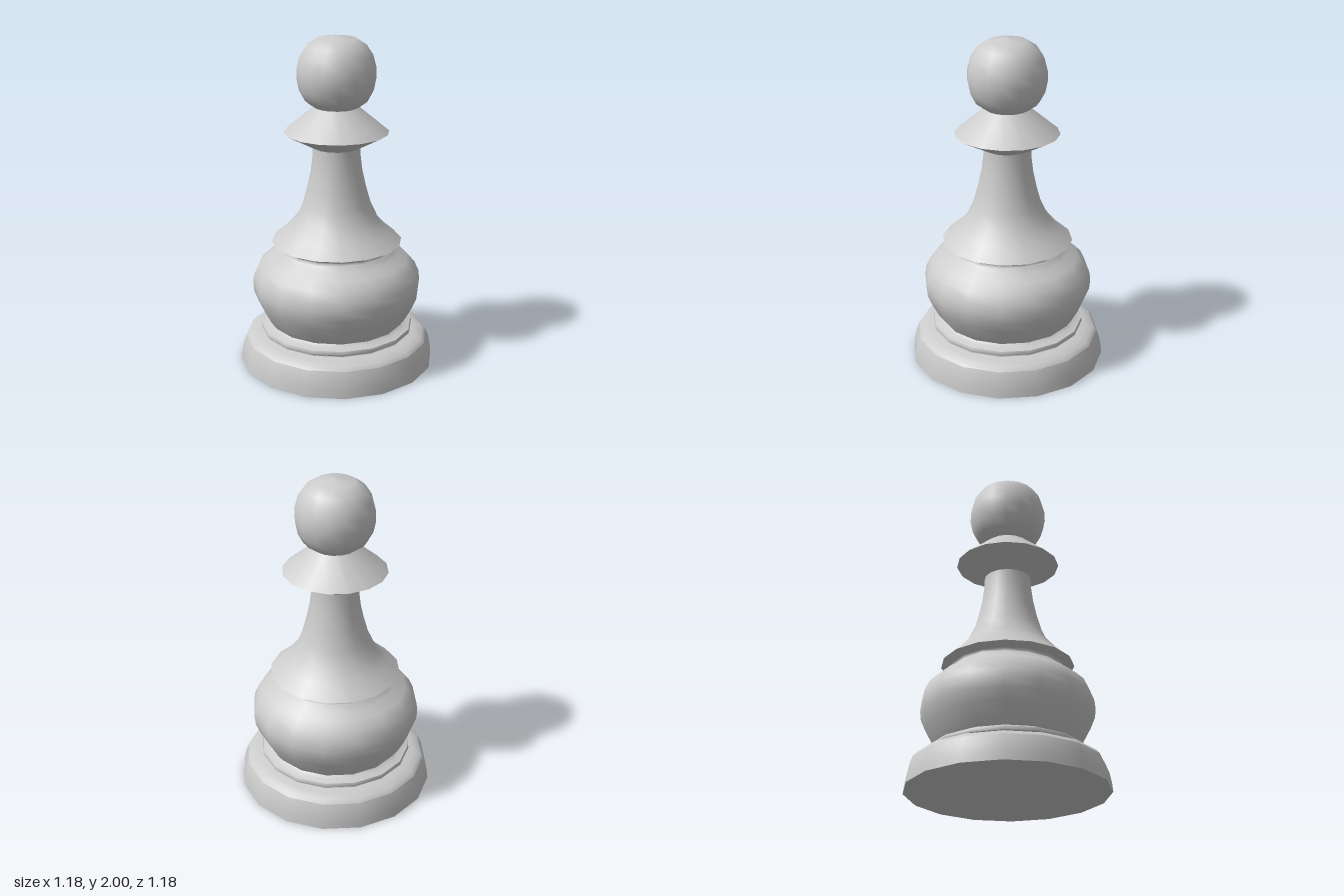
import * as THREE from 'three';

const SIDES = 16;

// Each part is a run of [radius, height] from bottom to top; edges between runs stay sharp.
const PARTS = {
  baseSide: [[0.59, 0], [0.585, 0.05], [0.573, 0.11], [0.555, 0.155]],
  baseShoulder: [[0.555, 0.155], [0.535, 0.178], [0.49, 0.19], [0.45, 0.198]],
  baseRingUnderside: [[0.44, 0.198], [0.46, 0.21]],
  baseRing: [[0.46, 0.21], [0.463, 0.222], [0.458, 0.235]],
  baseRingTop: [[0.458, 0.235], [0.42, 0.245], [0.405, 0.258]],
  body: [[0.405, 0.258], [0.435, 0.3], [0.475, 0.375], [0.502, 0.44], [0.508, 0.495],
    [0.502, 0.55], [0.475, 0.61], [0.43, 0.655], [0.37, 0.69], [0.345, 0.72]],
  bodyNeck: [[0.345, 0.72], [0.33, 0.73], [0.342, 0.742]],
  skirtUnderside: [[0.342, 0.742], [0.392, 0.765]],
  stem: [[0.392, 0.765], [0.31, 0.835], [0.245, 0.91], [0.203, 1.0], [0.175, 1.1],
    [0.153, 1.2], [0.142, 1.29], [0.14, 1.345]],
  collarUnderside: [[0.14, 1.345], [0.31, 1.435]],
  collarTop: [[0.31, 1.435], [0.13, 1.585]],
  head: [[0.13, 1.585], [0.185, 1.625], [0.218, 1.685], [0.232, 1.755], [0.23, 1.815],
    [0.212, 1.885], [0.173, 1.945], [0.115, 1.983], [0, 2.0]],
};

export function createModel() {
  const group = new THREE.Group();
  group.name = 'chessPawn';
  const material = new THREE.MeshStandardMaterial({ color: 0xcccccc });

  const add = (name, geometry) => {
    const mesh = new THREE.Mesh(geometry, material);
    mesh.name = name;
    group.add(mesh);
    return mesh;
  };

  for (const [name, profile] of Object.entries(PARTS)) {
    const points = profile.map(([r, y]) => new THREE.Vector2(r, y));
    add(name, new THREE.LatheGeometry(points, SIDES));
  }

  // Flat underside closing the base
  const underside = new THREE.CircleGeometry(0.59, SIDES);
  underside.rotateX(Math.PI / 2);
  add('baseUnderside', underside);

  return group;
}
